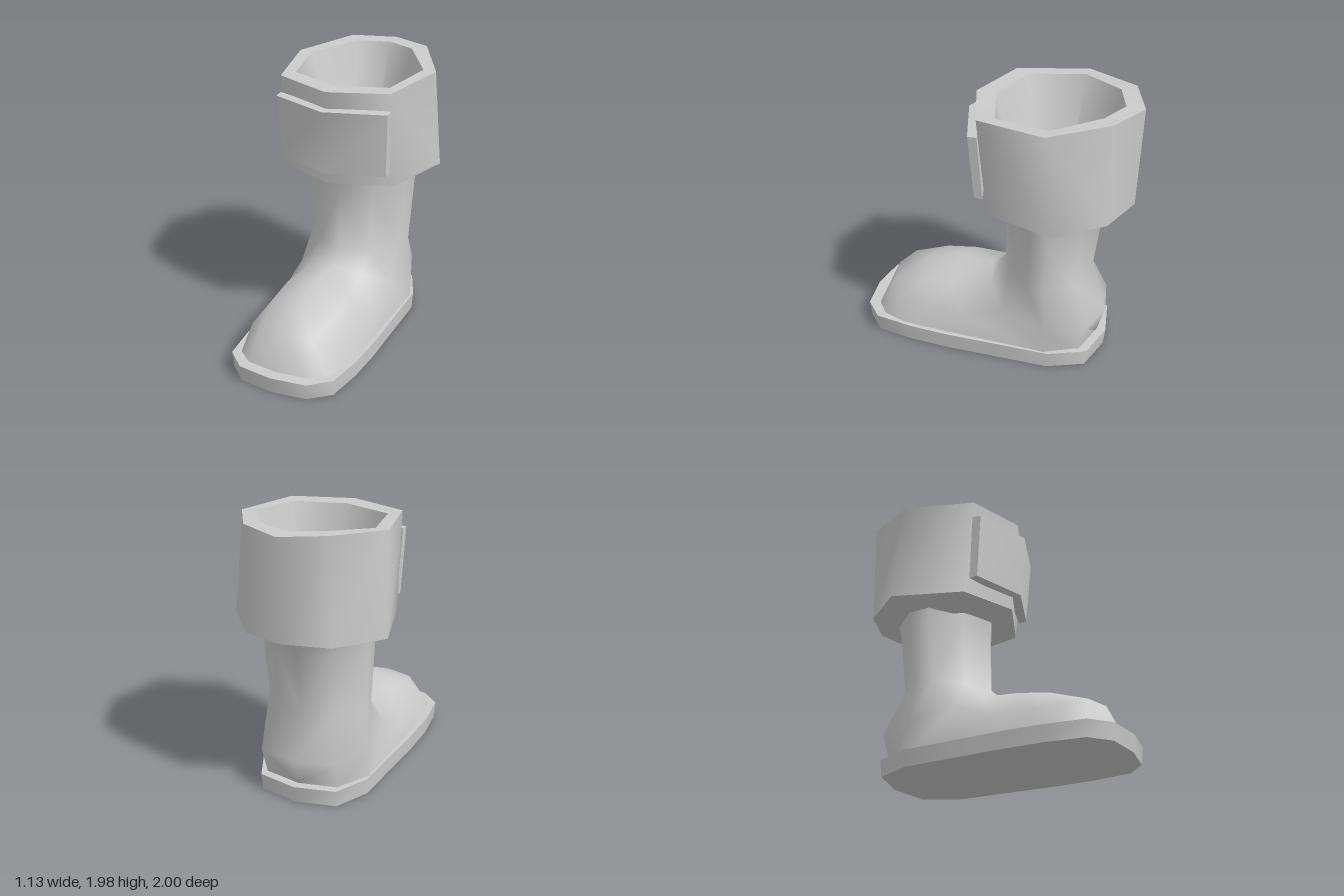
import * as THREE from 'three';
import { toCreasedNormals } from 'three/addons/utils/BufferGeometryUtils.js';

const material = new THREE.MeshStandardMaterial({ color: 0xcccccc });

// Half ring (front centre, round the +x side, to back centre) mirrored to a full ring
const mirror = (half) => [
  ...half,
  ...half.slice(1, -1).reverse().map(([x, y, z]) => [-x, y, z]),
];

// Flat outline [x, z] placed at one height, scaled about z = cz
const level = (outline, y, s = 1, cz = 0) =>
  mirror(outline.map(([x, z]) => [x * s, y, cz + (z - cz) * s]));

// Skin a list of equal-sized rings, with optional end caps
function loft(name, rings, { start = false, end = false, crease = 0.95 } = {}) {
  const n = rings[0].length;
  const index = [];
  for (let r = 0; r < rings.length - 1; r++) {
    for (let i = 0; i < n; i++) {
      const j = (i + 1) % n;
      const a = r * n + i, b = r * n + j, d = a + n, c = b + n;
      // diagonals mirror each other on the two sides
      if (i < n / 2) index.push(a, d, c, a, c, b);
      else index.push(a, d, b, d, c, b);
    }
  }
  const last = (rings.length - 1) * n;
  for (let i = 1; i < n - 1; i++) {
    if (start) index.push(0, i, i + 1);
    if (end) index.push(last, last + i + 1, last + i);
  }
  const geometry = new THREE.BufferGeometry();
  geometry.setAttribute('position', new THREE.Float32BufferAttribute(rings.flat(2), 3));
  geometry.setIndex(index);
  const mesh = new THREE.Mesh(toCreasedNormals(geometry, crease), material);
  mesh.name = name;
  return mesh;
}

export function createModel() {
  const boot = new THREE.Group();
  boot.name = 'boot';

  // Sole: thick slab following the foot outline
  const soleOutline = [
    [0, 0.995], [0.26, 0.96], [0.4, 0.83], [0.435, 0.55], [0.44, 0.25],
    [0.425, -0.1], [0.41, -0.5], [0.29, -0.755], [0, -0.82],
  ];
  boot.add(loft('sole', [
    level(soleOutline, 0.12),
    level(soleOutline, 0, 0.985, 0.09),
  ], { start: true, end: true, crease: 1 }));

  // Upper: rings run down the leg, tilt round the instep and end at the toe
  boot.add(loft('upper', [
    level([[0, -0.04], [0.22, -0.15], [0.39, -0.34], [0.4, -0.5], [0.22, -0.7], [0, -0.8]], 1.19),
    level([[0, -0.06], [0.22, -0.16], [0.39, -0.35], [0.4, -0.48], [0.21, -0.67], [0, -0.75]], 1.08),
    level([[0, -0.045], [0.2, -0.14], [0.35, -0.32], [0.375, -0.45], [0.21, -0.62], [0, -0.69]], 0.62),
    mirror([[0, 0.53, 0.05], [0.2, 0.49, 0], [0.36, 0.4, -0.14], [0.4, 0.31, -0.47], [0.29, 0.31, -0.74], [0, 0.31, -0.81]]),
    mirror([[0, 0.54, 0.3], [0.25, 0.45, 0.28], [0.37, 0.27, 0.15], [0.4, 0.1, -0.46], [0.27, 0.1, -0.69], [0, 0.1, -0.75]]),
    mirror([[0, 0.46, 0.56], [0.25, 0.41, 0.51], [0.36, 0.27, 0.45], [0.41, 0.1, 0.3], [0.2, 0.1, 0.1], [0, 0.1, 0.05]]),
    mirror([[0, 0.35, 0.81], [0.2, 0.34, 0.76], [0.33, 0.28, 0.66], [0.41, 0.1, 0.53], [0.2, 0.1, 0.4], [0, 0.1, 0.4]]),
    mirror([[0, 0.1, 0.92], [0.24, 0.1, 0.89], [0.35, 0.1, 0.8], [0.405, 0.1, 0.62], [0.2, 0.1, 0.5], [0, 0.1, 0.5]]),
  ], { end: true, crease: 1.3 }));

  // Cuff: deep funnel inside, flat rim, flared wall and a tapered underside
  const rim = [[0, 1.91, 0.03], [0.36, 1.915, -0.09], [0.44, 1.935, -0.48], [0.22, 1.97, -0.78], [0, 1.965, -0.87]];
  boot.add(loft('cuff', [
    level(rim.map(([x, , z]) => [x, z]), 0.5, 0.07, -0.385),
    mirror(rim),
    mirror([[0, 1.91, 0.17], [0.42, 1.915, 0.02], [0.535, 1.935, -0.48], [0.3, 1.975, -0.87], [0, 1.965, -1]]),
    mirror([[0, 1.22, 0.12], [0.42, 1.21, -0.05], [0.565, 1.22, -0.55], [0.31, 1.225, -0.86], [0, 1.24, -0.97]]),
    mirror([[0, 1.13, -0.1], [0.25, 1.13, -0.24], [0.34, 1.13, -0.45], [0.18, 1.13, -0.64], [0, 1.15, -0.72]]),
  ], { start: true, crease: 1.05 }));

  // Strap: folded plate across the front of the cuff
  const strapSection = (side, outerZ, innerZ) => [
    [side * 0.425, 1.79, innerZ], [side * 0.425, 1.785, outerZ],
    [side * 0.405, 1.32, outerZ - 0.035], [side * 0.405, 1.315, innerZ - 0.03],
  ];
  boot.add(loft('strap', [
    strapSection(1, 0.08, 0.015),
    strapSection(0, 0.225, 0.13),
    strapSection(-1, 0.08, 0.015),
  ], { start: true, end: true }));

  return boot;
}
